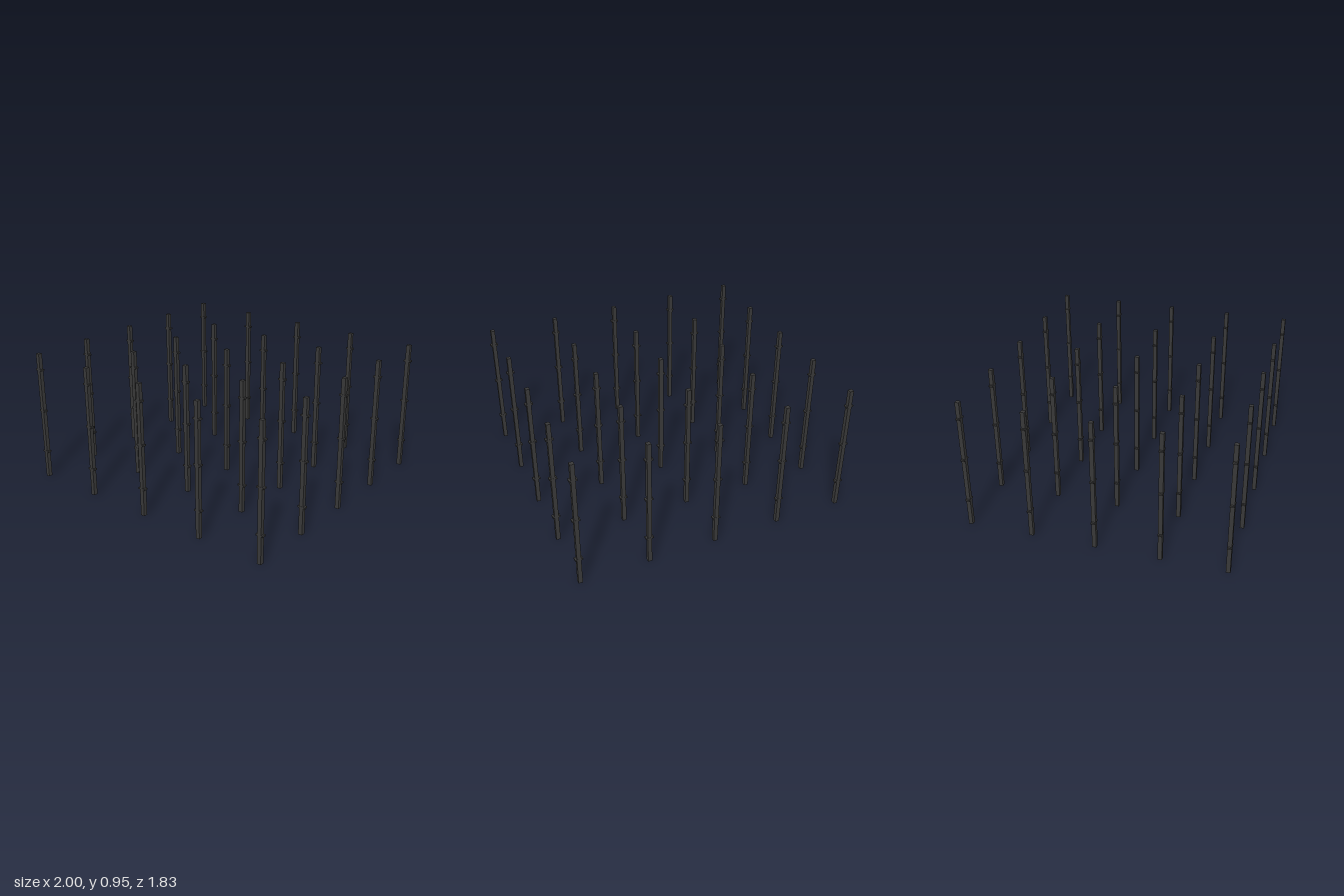
import * as THREE from 'three';

const HEIGHT = 0.95, WIDTH = 0.029;
const STEP_X = 0.4865, STEP_Z = 0.45;
const BAR_HEIGHTS = [0.2, 0.52, 0.83];

export function createModel() {
  const model = new THREE.Group();
  model.name = 'postGrid';
  const material = new THREE.MeshStandardMaterial({ color: 0x383838 });
  const postGeometry = new THREE.BoxGeometry(WIDTH, HEIGHT, WIDTH);
  const barGeometry = new THREE.BoxGeometry(0.054, 0.011, WIDTH + 0.001);

  const add = (parent, name, geometry, y) => {
    const mesh = new THREE.Mesh(geometry, material);
    mesh.name = name;
    mesh.position.y = y;
    parent.add(mesh);
  };

  // Five rows of five posts
  for (let row = -2; row <= 2; row++) {
    for (let column = -2; column <= 2; column++) {
      const post = new THREE.Group();
      post.name = 'post';
      post.position.set(column * STEP_X, 0, row * STEP_Z);
      add(post, 'shaft', postGeometry, HEIGHT / 2);
      // Short crossbars stick out on both sides
      for (const y of BAR_HEIGHTS) add(post, 'crossbar', barGeometry, y);
      model.add(post);
    }
  }
  return model;
}
